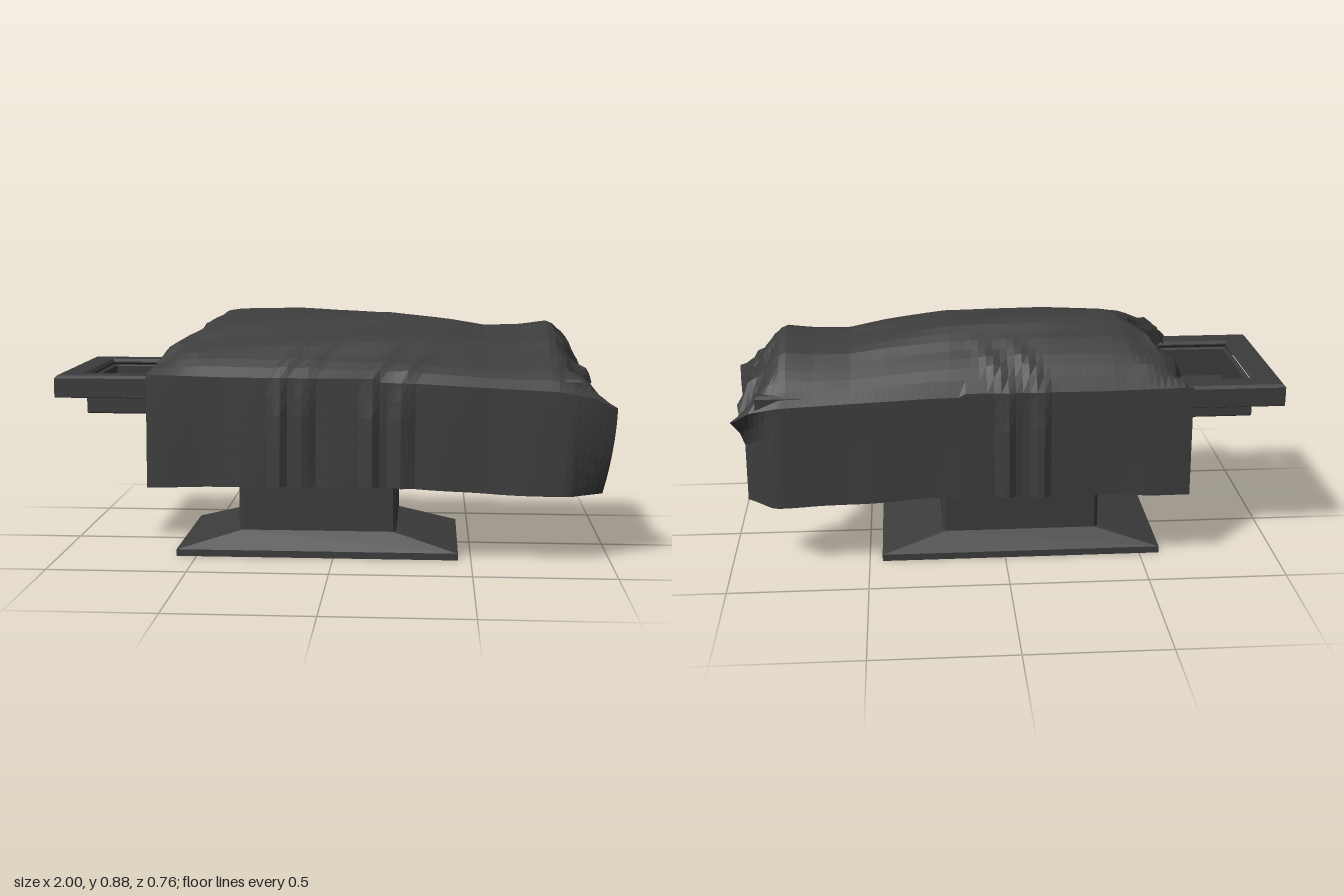
import * as THREE from 'three';

const MID = -0.06; // x of the table's centre
const DARK = 0x3c3c3c;
const solid = new THREE.MeshStandardMaterial({ color: DARK, flatShading: true });
const sheet = new THREE.MeshStandardMaterial({ color: DARK, flatShading: true, side: THREE.DoubleSide });

function add(group, name, geometry, material = solid) {
  const mesh = new THREE.Mesh(geometry, material);
  mesh.name = name;
  group.add(mesh);
  return mesh;
}

// Piecewise linear lookup through [position, value] pairs
function sample(points, p) {
  if (p <= points[0][0]) return points[0][1];
  for (let i = 1; i < points.length; i++) {
    const [a, va] = points[i - 1], [b, vb] = points[i];
    if (p <= b) return va + (vb - va) * (p - a) / (b - a);
  }
  return points[points.length - 1][1];
}

// Triangle wave for sharp-edged wrinkles
const crease = (p) => Math.asin(Math.sin(p)) * 2 / Math.PI;

// Surface over a grid of rows and columns
function gridGeometry(rows, cols, point) {
  const pos = [], index = [];
  for (let i = 0; i <= rows; i++) for (let j = 0; j <= cols; j++) pos.push(...point(i, j));
  for (let i = 0; i < rows; i++) for (let j = 0; j < cols; j++) {
    const a = i * (cols + 1) + j, b = a + cols + 1;
    index.push(a, a + 1, b, b, a + 1, b + 1);
  }
  const g = new THREE.BufferGeometry();
  g.setAttribute('position', new THREE.Float32BufferAttribute(pos, 3));
  g.setIndex(index);
  g.computeVertexNormals();
  return g;
}

function rectangle(Type, x0, x1, z) {
  return new Type([[x0, -z], [x1, -z], [x1, z], [x0, z]].map(([x, y]) => new THREE.Vector2(x, y)));
}

// Horizontal slab with a rectangular opening, from y0 to y1
function frame(outer, inner, y0, y1, bevel) {
  const shape = rectangle(THREE.Shape, outer[0] + bevel, outer[1] - bevel, outer[2] - bevel);
  shape.holes.push(rectangle(THREE.Path, inner[0] - bevel, inner[1] + bevel, inner[2] + bevel));
  const g = new THREE.ExtrudeGeometry(shape, {
    depth: y1 - y0 - 2 * bevel, bevelThickness: bevel, bevelSize: bevel, bevelSegments: 1,
  });
  return g.rotateX(-Math.PI / 2).translate(0, y0 + bevel, 0);
}

function createPedestal() {
  // Open-bottomed shell: [half length, half depth, height], with chamfered corners
  const rings = [[0.513, 0.28, 0], [0.513, 0.28, 0.025], [0.288, 0.227, 0.09], [0.288, 0.227, 0.645]];
  const corners = [[1, 1], [1, -1], [-1, -1], [-1, 1]];
  return gridGeometry(rings.length - 1, 8, (i, j) => {
    const [hx, hz, y] = rings[i], c = i < 2 ? 0.002 : 0.012;
    const k = j % 8, [sx, sz] = corners[k >> 1];
    const cutX = (k & 1) === ((k >> 1) & 1);
    return [MID + sx * (hx - (cutX ? c : 0)), y, sz * (hz - (cutX ? 0 : c))];
  });
}

function createCover() {
  const TOP = 24, SIDE = 6, ROWS = 66;
  const ridge = [[-0.66, 0.67], [-0.635, 0.77], [-0.59, 0.83], [-0.47, 0.87], [-0.38, 0.88], [-0.15, 0.89],
    [0.2, 0.88], [0.42, 0.85], [0.55, 0.825], [0.68, 0.828], [0.78, 0.842], [0.85, 0.8], [0.95, 0.7], [1, 0.65]];
  const shoulder = [[-0.66, 0.675], [0.3, 0.65], [0.8, 0.625], [0.92, 0.605], [1, 0.565]];
  const hem = [[-0.66, 0.27], [-0.2, 0.28], [0.25, 0.28], [0.6, 0.26], [1, 0.25]];
  const dome = [[-1, 0], [-0.95, 0.17], [-0.8, 0.45], [-0.58, 0.74], [-0.38, 0.92], [-0.17, 1],
    [0.0, 0.97], [0.37, 0.76], [0.63, 0.51], [0.89, 0.22], [1, 0]];
  // How far the head end is drawn back, across the width
  const drawn = [[-1, 0], [-0.6, 0.05], [-0.3, 0.12], [0, 0.16], [0.3, 0.07], [0.6, 0], [1, 0]];
  const folds = { '1': [-0.19, -0.1, 0.135, 0.25], '-1': [-0.12, 0] };

  return gridGeometry(ROWS, TOP + 2 * SIDE, (i, j) => {
    const u = i / ROWS, base = -0.66 + 1.66 * u; // base: station along the body
    const t = THREE.MathUtils.clamp((j - SIDE) / TOP * 2 - 1, -1, 1);
    const drop = Math.max(SIDE - j, j - SIDE - TOP, 0) / SIDE;
    const side = t < 0 ? -1 : 1;
    const head = Math.max(0, 1 - u / 0.18), foot = Math.max(0, 1 - (1 - u) / 0.12);
    const width = side > 0 ? 0.343 : 0.355 - 0.02 * u - 0.02 * foot;
    const edge = sample(shoulder, base);
    let x = base + sample(drawn, t) * head - 0.09 * (1 - Math.abs(t) ** 3) * foot;
    if (side < 0) x -= 0.03 * foot * Math.abs(t) ** 3;
    let y, z;

    if (drop > 0) {
      // Hanging sides, with pleats and a flap turned in at the far end
      const pleat = folds[side].reduce((m, f) => Math.max(m, 1 - Math.abs(base - f) / 0.04), 0);
      const curl = Math.max(0, (base - 0.84) / 0.16);
      const turn = side > 0 ? drop : Math.min(1, drop * 4);
      y = THREE.MathUtils.lerp(edge, sample(hem, base), drop);
      z = width + 0.014 * drop + 0.026 * pleat * Math.min(1, drop * 2 + 0.3);
      z += 0.005 * Math.sin(base * 19 + side) * drop - (side > 0 ? 0.105 : 0.075) * curl * turn;
      z *= side;
      x -= curl * (side > 0 ? 0.035 * drop * drop : 0.04 * turn);
    } else {
      // Draped top over the reclining form, with soft lengthwise wrinkles
      y = edge + (sample(ridge, base) - edge) * sample(dome, t);
      y += Math.sin(Math.PI * u) * (1 - t * t) * (0.007 * Math.sin(t * 13 + base * 5) - 0.005);
      // Pleats run on over the shoulder at a slant
      const slant = base - 0.25 * (1 - Math.abs(t));
      const pleat = folds[side].reduce((m, f) => Math.max(m, 1 - Math.abs(slant - f) / 0.04), 0);
      y += 0.014 * pleat * Math.max(0, Math.abs(t) * 2 - 1) * Math.min(1, (1 - Math.abs(t)) * 8);
      z = width * t + side * 0.008 * pleat * t ** 6;

      // Bunched cloth at both ends
      const bunch = Math.max(head * head, Math.min(1, foot * 1.5)) * (1 - t ** 8);
      x += 0.02 * bunch * crease(t * 17 + base * 14);
      y += 0.016 * bunch * (crease(t * 12 - base * 23) + 0.6 * crease(t * 23 + base * 31));
      z += 0.012 * bunch * crease(t * 9 + base * 37);
      y = Math.max(y, u < 0.5 ? 0.667 : 0.57);
      if (u > 0.5) y = Math.min(y, 0.9 - 0.24 * Math.max(0, foot * 3 - 2));
    }
    return [x, y, z];
  });
}

export function createModel() {
  const group = new THREE.Group();
  group.name = 'coveredTable';

  add(group, 'pedestal', createPedestal(), sheet);

  // Table top, hollow underneath, with a sunken basin at its uncovered end
  const table = new THREE.Group();
  table.name = 'tableTop';
  table.position.z = -0.006;
  group.add(table);
  add(table, 'deck', frame([-1, 0.88, 0.317], [-0.9, -0.635, 0.222], 0.641, 0.665, 0.01));
  add(table, 'rim', frame([-1, 0.88, 0.317], [-0.975, 0.855, 0.292], 0.585, 0.655, 0.002));
  add(table, 'basinWall', frame([-0.905, -0.6, 0.22], [-0.885, -0.645, 0.2], 0.515, 0.645, 0.004));
  add(table, 'basinFloor', new THREE.BoxGeometry(0.29, 0.015, 0.42)).position.set(-0.755, 0.526, 0);

  add(group, 'cover', createCover(), sheet);
  return group;
}
